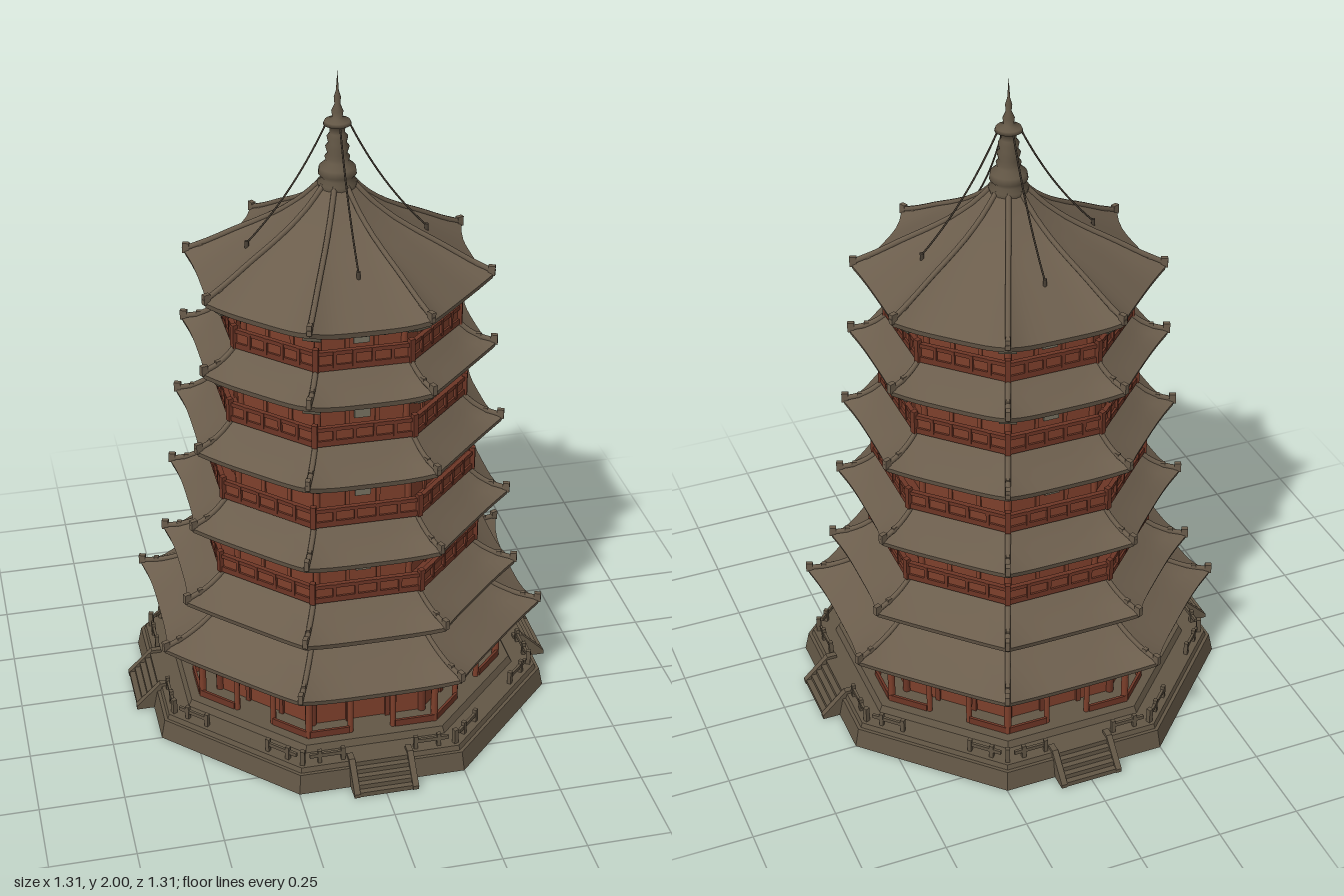
import * as THREE from 'three';
import { mergeGeometries } from 'three/addons/utils/BufferGeometryUtils.js';

const TAN = Math.tan(Math.PI / 8), COS = Math.cos(Math.PI / 8), STEP = Math.PI / 4;

const material = (name, color, side = THREE.FrontSide) => {
  const m = new THREE.MeshStandardMaterial({ color, side });
  m.name = name;
  return m;
};

// Eight-sided shell through rings [apothem, y, cornerLift, cornerFlare], listed from the top outwards.
function octagon(rings, segments = 1) {
  const pos = [], idx = [], cols = segments + 1;
  for (let k = 0; k < 8; k++) {
    const s = Math.sin(k * STEP), c = Math.cos(k * STEP), base = pos.length / 3;
    rings.forEach(([a, y, lift = 0, flare = 0], i) => {
      for (let j = 0; j < cols; j++) {
        const t = (j / segments) * 2 - 1, bend = Math.abs(t) ** 4;
        const r = a * (1 + flare * bend), u = r * TAN * t;
        pos.push(s * r + c * u, y + lift * bend, c * r - s * u);
        if (i < rings.length - 1 && j < segments) {
          const p = base + i * cols + j, q = p + cols;
          idx.push(p, q, q + 1, p, q + 1, p + 1);
        }
      }
    });
  }
  const g = new THREE.BufferGeometry();
  g.setAttribute('position', new THREE.Float32BufferAttribute(pos, 3));
  g.setIndex(idx);
  g.computeVertexNormals();
  return g;
}

// Sharp-edged version: every band between two rings gets its own vertices.
const prism = (...rings) =>
  mergeGeometries(rings.slice(1).map((r, i) => octagon([rings[i], r])));

// Repeat a geometry (built facing +z) on all eight sides, at the given sideways offsets.
function onSides(geo, apothem, y, offsets, sides = [0, 1, 2, 3, 4, 5, 6, 7]) {
  return sides.flatMap(k => offsets.map(x => geo.clone().translate(x, y, apothem).rotateY(k * STEP)));
}
// Repeat a geometry on all eight corners.
function onCorners(geo, apothem, y) {
  return Array.from({ length: 8 }, (_, k) =>
    geo.clone().translate(0, y, apothem / COS).rotateY((k + 0.5) * STEP));
}
const box = (w, h, d) => new THREE.BoxGeometry(w, h, d);
const rod = (r, h, n = 8) => new THREE.CylinderGeometry(r, r, h, n);

export function createModel() {
  const model = new THREE.Group();
  const tile = material('roof tile', 0x6b5d4c);
  const stone = material('stone', 0x625645);
  const red = material('red timber', 0x7d3f2b);
  const rail = material('dark red timber', 0x6c3525);
  const bracketWood = material('weathered brackets', 0x5a5445);
  const windowGrey = material('window grey', 0x757060);
  const iron = material('iron', 0x4a4136);

  const add = (name, geo, mat) => {
    const mesh = new THREE.Mesh(Array.isArray(geo) ? mergeGeometries(geo) : geo, mat);
    mesh.name = name;
    model.add(mesh);
    return mesh;
  };

  // Stone platform
  add('platform', prism([0, 0.095], [0.5, 0.095], [0.51, 0.075], [0.575, 0.075], [0.58, 0.06],
    [0.59, 0.06], [0.602, 0], [0, 0]), stone);
  add('platformPosts', [
    ...onSides(box(0.012, 0.045, 0.012), 0.558, 0.095, [-0.18, -0.11, 0.11, 0.18]),
    ...onCorners(box(0.014, 0.05, 0.014), 0.558, 0.098),
  ], stone);
  add('platformRails', onSides(box(0.1, 0.012, 0.008), 0.558, 0.1, [-0.16, 0.16]), stone);

  // Stairs on the four main sides
  const cardinal = [0, 2, 4, 6], steps = [];
  for (let i = 0; i < 5; i++) {
    const h = 0.075 - i * 0.015;
    steps.push(...onSides(box(0.16, h, 0.1), 0.535 + i * 0.017, h / 2, [0], cardinal));
  }
  add('steps', steps, stone);
  const slope = new THREE.Shape([[0.55, 0], [0.655, 0], [0.655, 0.012], [0.58, 0.085], [0.55, 0.085]]
    .map(p => new THREE.Vector2(...p)));
  const cheek = new THREE.ExtrudeGeometry(slope, { depth: 0.018, bevelEnabled: false })
    .translate(0, 0, -0.009).rotateY(-Math.PI / 2);
  add('stairCheeks', onSides(cheek, 0, 0, [-0.088, 0.088], cardinal), stone);

  // Ground storey: wall, doors and the ring of veranda columns
  add('groundWall', prism([0.405, 0.3], [0.405, 0.09]), red);
  add('groundWallPosts', [
    ...onSides(box(0.014, 0.17, 0.014), 0.407, 0.175, [-0.06, 0.06]),
    ...onCorners(rod(0.012, 0.17), 0.405, 0.175)], rail);
  add('verandaColumns', [
    ...onSides(rod(0.009, 0.17), 0.462, 0.175, [-0.065, 0.065]),
    ...onCorners(rod(0.011, 0.17), 0.462, 0.175)], red);
  add('verandaBeam', prism([0.455, 0.262], [0.47, 0.262], [0.47, 0.238], [0.455, 0.238], [0.455, 0.262]), red);
  add('verandaFence', onSides(box(0.12, 0.022, 0.008), 0.47, 0.108, [-0.13, 0.13]), rail);

  // Curved tile roof with hip ridges, upturned corners and a soffit
  function roof(name, eave, eaveY, lift, profile) {
    const flare = 0.045, top = profile[0][0];
    const rings = [...profile, [eave, eaveY]].map(([a, y]) => {
      const w = ((a - top) / (eave - top)) ** 2;
      return [a, y, lift * w, flare * w];
    });
    const lip = [eave, eaveY, lift, flare], low = [eave - 0.006, eaveY - 0.018, lift, flare];
    const inner = [Math.min(top, eave - 0.13), eaveY - 0.004, 0, 0];
    if (top < 0.1) inner[0] = 0.27;
    add(name, [octagon(rings, 10), octagon([lip, low], 10)], tile);
    add(name + 'Soffit', octagon([low, inner], 10), bracketWood);
    const ridge = new THREE.CatmullRomCurve3(rings.map(([a, y, l, f]) =>
      new THREE.Vector3(0, y + l + 0.003, a * (1 + f) / COS)));
    add(name + 'Ridges', onCorners(new THREE.TubeGeometry(ridge, 12, 0.008, 6), 0, 0), tile);
    const tip = eave * (1 + flare);
    add(name + 'CornerOrnaments', [
      ...onCorners(box(0.014, 0.03, 0.02), tip - 0.008, eaveY + lift + 0.008),
      ...onCorners(box(0.012, 0.018, 0.014), tip - 0.05, eaveY + lift * 0.7 + 0.022),
    ], tile);
  }

  // Stepped bracket clusters that carry an eave
  function brackets(name, wall, y, reach, height) {
    const side = 2 * wall * TAN, list = [];
    for (let i = 0; i < 3; i++) {
      const h = height / 3, d = reach * (i + 1) / 3, w = 0.018 + 0.016 * i, cy = y + h * (i + 0.5);
      list.push(...onSides(box(w, h, d), wall + d / 2, cy, [-side * 0.25, 0, side * 0.25]),
        ...onCorners(box(w, h, d * 1.1), wall + d * 0.5, cy));
    }
    add(name, list, bracketWood);
    add(name + 'Band', prism([wall + 0.004, y + height + 0.01], [wall + 0.004, y + height * 0.4]), bracketWood);
  }

  const sweep = (eave, eaveY, top, topY) => [0, 0.33, 0.66].map(t =>
    [top + (eave - top) * t, topY + (eaveY - topY) * (t + 0.28 * t * (1 - t))]);

  // Two lowest roofs with a bracket frieze between them
  brackets('groundBrackets', 0.44, 0.25, 0.07, 0.04);
  roof('firstRoof', 0.558, 0.292, 0.028, sweep(0.558, 0.292, 0.4, 0.395));
  add('friezeWall', prism([0.375, 0.46], [0.375, 0.36]), red);
  brackets('friezeBrackets', 0.376, 0.39, 0.075, 0.043);
  roof('secondRoof', 0.488, 0.437, 0.022, sweep(0.488, 0.437, 0.375, 0.52));

  // Upper storeys: [balcony y, balcony apothem, wall apothem, eave y, eave apothem, roof top y, roof top apothem]
  const storeys = [
    [0.52, 0.395, 0.335, 0.683, 0.46, 0.77, 0.36],
    [0.77, 0.38, 0.325, 0.933, 0.437, 1.02, 0.34],
    [1.02, 0.352, 0.312, 1.178, 0.413, 1.255, 0.322],
    [1.25, 0.333, 0.298, 1.397, 0.4, 0, 0],
  ];
  storeys.forEach(([y, bal, wall, eaveY, eave, topY, top], n) => {
    const id = 'storey' + (n + 2), side = 2 * bal * TAN, span = 2 * wall * TAN;
    const bracketY = eaveY - 0.056;
    add(id + 'Wall', prism([wall, eaveY + 0.01], [wall, y - 0.03]), red);
    add(id + 'WallPosts', [
      ...onSides(box(0.012, bracketY - y, 0.012), wall, (bracketY + y) / 2, [-span / 6, span / 6]),
      ...onCorners(rod(0.01, bracketY - y), wall, (bracketY + y) / 2)], red);
    add(id + 'Windows', onSides(box(0.045, 0.045, 0.008), wall + 0.003, y + 0.085, [0], cardinal), windowGrey);

    // Balcony
    add(id + 'BalconyFloor', prism([wall - 0.01, y + 0.018], [bal, y + 0.018], [bal, y], [wall - 0.01, y - 0.012]), rail);
    add(id + 'BalconyPanel', prism([bal - 0.012, y + 0.05], [bal - 0.006, y + 0.05], [bal - 0.006, y + 0.015],
      [bal - 0.012, y + 0.015], [bal - 0.012, y + 0.05]), red);
    add(id + 'BalconyRail', prism([bal - 0.014, y + 0.06], [bal, y + 0.06], [bal, y + 0.048],
      [bal - 0.014, y + 0.048], [bal - 0.014, y + 0.06]), rail);
    add(id + 'BalconyPosts', [
      ...onSides(box(0.01, 0.05, 0.012), bal - 0.004, y + 0.035, [-0.3, -0.1, 0.1, 0.3].map(f => f * side)),
      ...onCorners(box(0.016, 0.072, 0.016), bal - 0.004, y + 0.036)], rail);

    brackets(id + 'Brackets', wall, bracketY, Math.min(0.085, eave - wall - 0.02), 0.05);
    if (top) roof(id + 'Roof', eave, eaveY, 0.022, sweep(eave, eaveY, top, topY));
    else roof('topRoof', eave, eaveY, 0.022,
      [[0.045, 1.665], [0.09, 1.615], [0.15, 1.565], [0.21, 1.525], [0.27, 1.487], [0.34, 1.437]]);
  });

  // Spire: bowl, ball, ringed mast, crown and needle
  const spireProfile = [[0.05, 1.645], [0.058, 1.67], [0.042, 1.68], [0.055, 1.695], [0.052, 1.715], [0.032, 1.732],
    [0.036, 1.745], [0.028, 1.755], [0.034, 1.775], [0.026, 1.785], [0.03, 1.805], [0.022, 1.815], [0.022, 1.835],
    [0.04, 1.842], [0.036, 1.852], [0.014, 1.86], [0.017, 1.88], [0.008, 1.9], [0.01, 1.92], [0.004, 1.94], [0, 2]];
  add('spire', new THREE.LatheGeometry(spireProfile.map(p => new THREE.Vector2(...p)), 20), stone);

  // Four stay chains with end weights
  const chain = new THREE.QuadraticBezierCurve3(new THREE.Vector3(0, 1.84, 0.035),
    new THREE.Vector3(0, 1.64, 0.13), new THREE.Vector3(0, 1.505, 0.262));
  add('stayChains', onSides(new THREE.TubeGeometry(chain, 14, 0.0028, 5), 0, 0, [0], cardinal), iron);
  add('chainAnchors', onSides(rod(0.006, 0.03), 0.262, 1.496, [0], cardinal), iron);

  return model;
}
